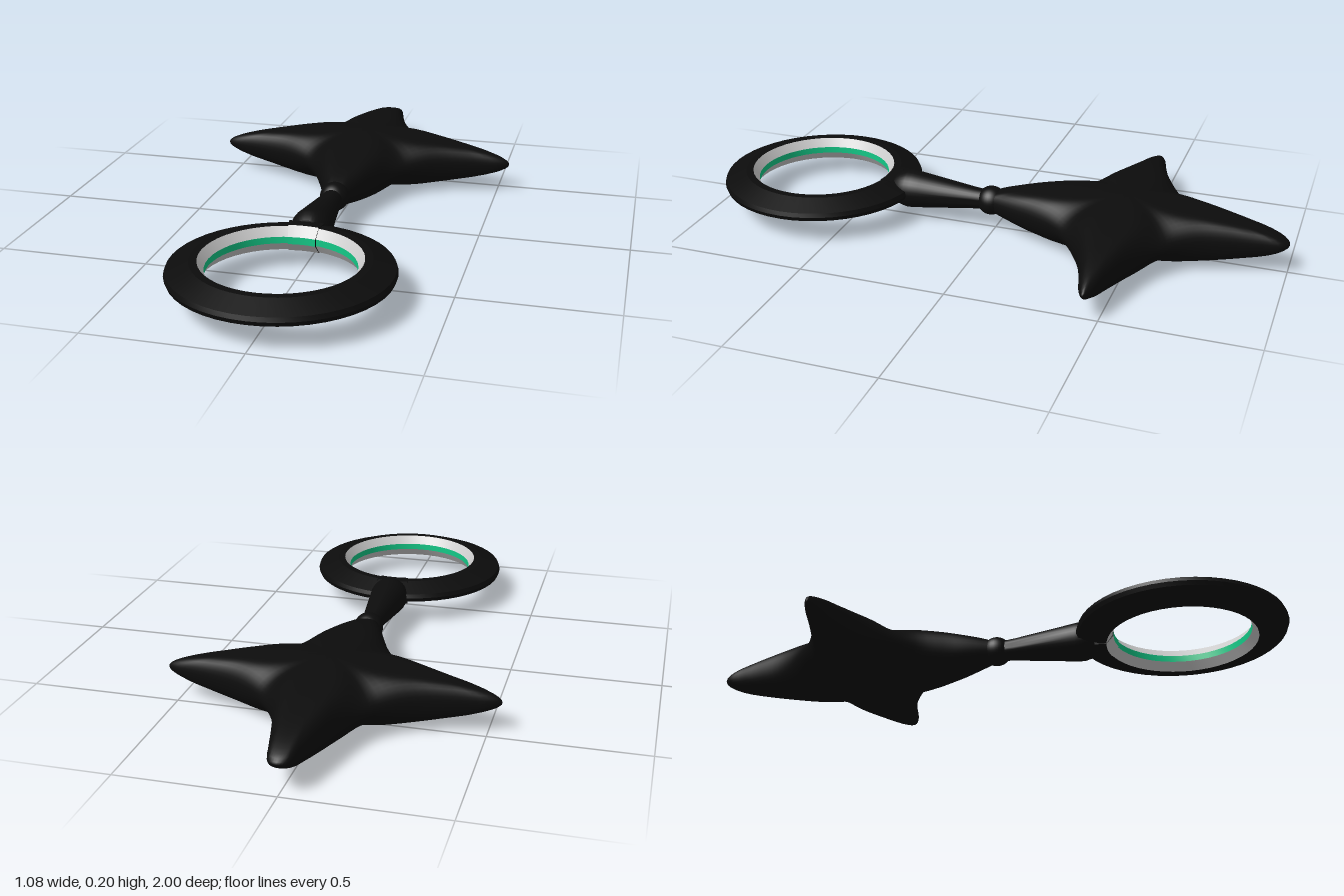
import * as THREE from 'three';
import { mergeVertices, toCreasedNormals } from 'three/addons/utils/BufferGeometryUtils.js';

const MID = 0.105; // height of the mid plane
const RING_Z = 0.65;
const STAR_Z = -0.46;

const mat = (color) => new THREE.MeshStandardMaterial({ color, side: THREE.DoubleSide });
const black = mat(0x0c0c0c);
const grey = mat(0xcccccc);
const green = mat(0x14c987);

const v2 = (pts) => pts.map(([a, b]) => new THREE.Vector2(a, b));

function add(group, name, geometry, material, z = 0) {
  const mesh = new THREE.Mesh(geometry, material);
  mesh.name = name;
  mesh.position.set(0, MID, z);
  group.add(mesh);
  return mesh;
}

// Four-pointed pillow: scaled copies of the outline, domed up and down
function starGeometry() {
  const half = [
    [0.03, -0.525], [0.05, -0.46], [0.07, -0.38], [0.1, -0.28], [0.14, -0.205], [0.2, -0.143],
    [0.3, -0.085], [0.42, -0.045], [0.51, -0.02], [0.54, 0], [0.51, 0.02], [0.42, 0.045],
    [0.3, 0.09], [0.2, 0.155], [0.14, 0.225], [0.1, 0.31], [0.07, 0.39], [0.045, 0.45], [0.025, 0.49],
  ];
  const mirrored = half.map(([x, z]) => [-x, z]).reverse();
  const outline = new THREE.CatmullRomCurve3(
    [[0, -0.54], ...half, [0, 0.5], ...mirrored].map(([x, z]) => new THREE.Vector3(x, 0, z)), true);
  const around = 160, layers = 32;
  const pos = [], index = [];
  for (let k = 0; k <= layers; k++) {
    const phi = (k / layers) * Math.PI;
    const s = k % layers === 0 ? 0 : Math.sin(phi);
    for (let i = 0; i < around; i++) {
      const p = outline.getPoint(i / around);
      const tip = Math.abs(Math.cos(2 * Math.atan2(p.z, p.x))) ** 2;
      const d = s * p.length();
      const thick = 0.1 - 0.07 * (d / 0.54) ** 1.6;
      const rim = Math.sqrt(Math.max(0, 1 - s ** (3 + 9 * tip)));
      const side = k * 2 === layers ? 0 : Math.sign(Math.cos(phi));
      pos.push(p.x * s, side * thick * rim, p.z * s);
    }
  }
  for (let k = 0; k < layers; k++) {
    for (let i = 0; i < around; i++) {
      const j = (i + 1) % around;
      const a = k * around + i, b = k * around + j;
      const c = a + around, e = b + around;
      if (k > 0) index.push(a, b, e);
      if (k < layers - 1) index.push(a, e, c);
    }
  }
  // Wind the faces outward
  for (let t = 0; t < index.length; t += 3) [index[t + 1], index[t + 2]] = [index[t + 2], index[t + 1]];
  let g = new THREE.BufferGeometry();
  g.setAttribute('position', new THREE.Float32BufferAttribute(pos, 3));
  g.setIndex(index);
  g = mergeVertices(g, 1e-5);
  g.computeVertexNormals();
  return g;
}

// Band turned about the ring axis, with sharp profile corners
const band = (pts, start = 0, sweep = Math.PI * 2, segments = 48) =>
  toCreasedNormals(new THREE.LatheGeometry(v2(pts), segments, start, sweep), 0.35);

export function createModel() {
  const model = new THREE.Group();

  add(model, 'starBody', starGeometry(), black, STAR_Z);
  add(model, 'jointBall', new THREE.SphereGeometry(0.05, 32, 20), black, 0.015);

  // Tapered arm with a rounded end biting into the ring
  const arm = new THREE.LatheGeometry(v2([
    [0, 0.02], [0.033, 0.02], [0.038, 0.08], [0.062, 0.27], [0.066, 0.3],
    [0.066, 0.32], [0.06, 0.345], [0.048, 0.365], [0, 0.375],
  ]), 32).rotateX(Math.PI / 2);
  add(model, 'arm', toCreasedNormals(arm, 0.7), black);

  const ring = new THREE.Group();
  ring.name = 'ring';
  model.add(ring);
  add(ring, 'ringShell', band([
    [0.25, -0.04], [0.275, -0.04], [0.345, -0.014], [0.35, 0],
    [0.345, 0.014], [0.275, 0.04], [0.25, 0.04],
  ]), black, RING_Z);

  // Inner lining: two sloped grey bands with a green stripe between
  add(ring, 'upperLining', band([[0.25, 0.04], [0.23, 0.011]]), grey, RING_Z);
  add(ring, 'stripe', band([[0.23, 0.011], [0.23, -0.011]]), green, RING_Z);
  add(ring, 'lowerLining', band([[0.23, -0.011], [0.25, -0.04]]), grey, RING_Z);

  // Raised clasp on the lining where the arm meets the ring
  const arc = [Math.PI - 0.2, 0.4, 8];
  add(ring, 'claspUpper', band([[0.25, 0.043], [0.225, 0.012]], ...arc), grey, RING_Z);
  add(ring, 'claspStripe', band([[0.225, 0.012], [0.225, -0.012]], ...arc), green, RING_Z);
  add(ring, 'claspLower', band([[0.225, -0.012], [0.25, -0.043]], ...arc), grey, RING_Z);
  add(ring, 'claspTop', band([[0.29, 0.043], [0.25, 0.043]], ...arc), black, RING_Z);
  add(ring, 'claspBottom', band([[0.25, -0.043], [0.29, -0.043]], ...arc), black, RING_Z);

  // Dark end walls of the clasp
  const wall = new THREE.Shape(v2([
    [0.25, 0.043], [0.225, 0.012], [0.225, -0.012], [0.25, -0.043], [0.29, -0.043], [0.29, 0.043],
  ]));
  for (const side of [-1, 1]) {
    const end = add(ring, 'claspEnd', new THREE.ShapeGeometry(wall), black, RING_Z);
    end.rotation.y = Math.PI / 2 + side * 0.2;
  }
  return model;
}
